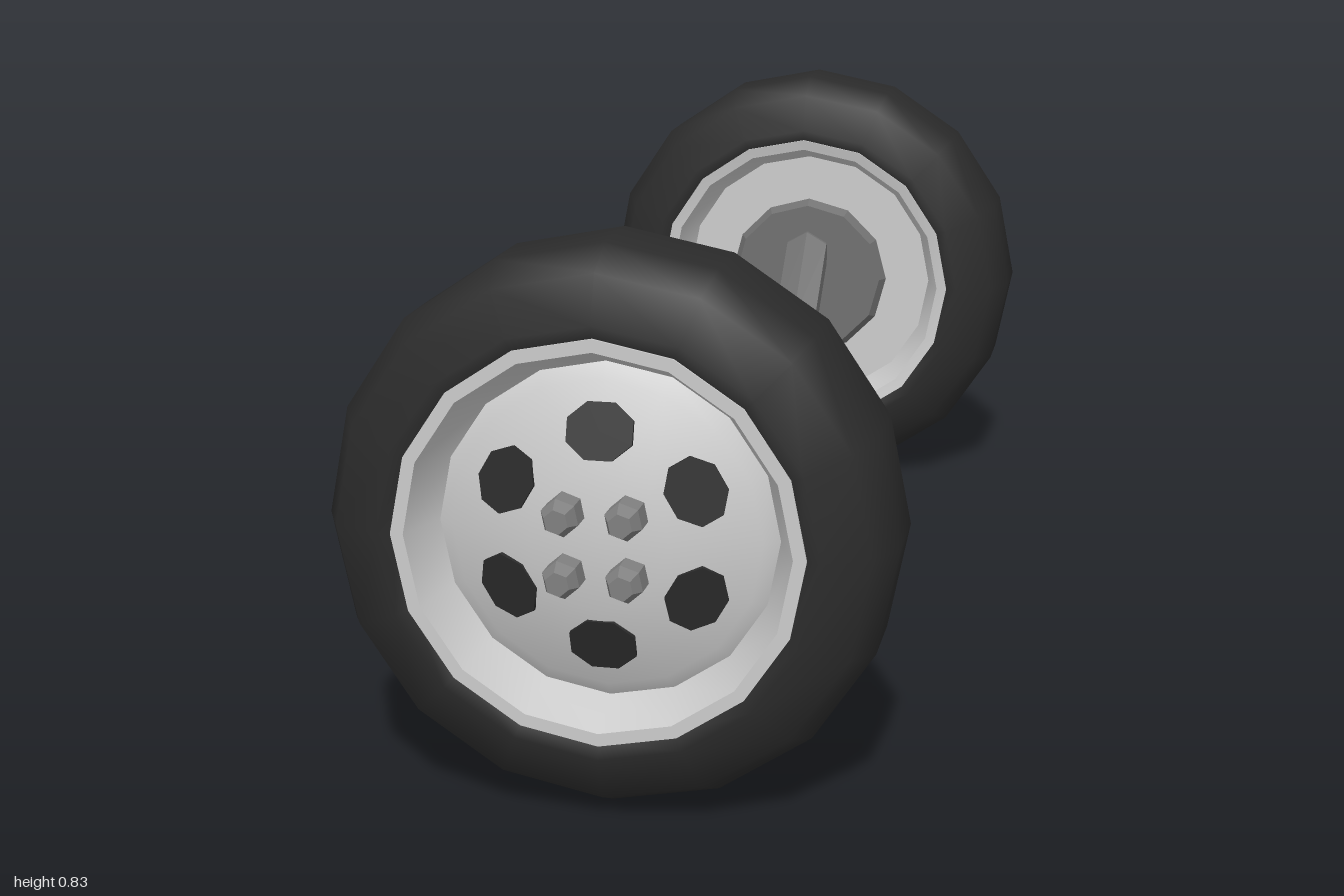
import * as THREE from 'three';
import { toCreasedNormals } from 'three/addons/utils/BufferGeometryUtils.js';

const mat = (color, flatShading = false) => new THREE.MeshStandardMaterial({ color, flatShading });
const rubber = mat(0x2b2b2b);
const metal = mat(0xcccccc);
const steel = mat(0x707070, true);
const nutSteel = mat(0x808080, true);

function add(parent, name, geometry, material) {
  const mesh = new THREE.Mesh(geometry, material);
  mesh.name = name;
  parent.add(mesh);
  return mesh;
}

// Lathe around the z axis; profile is [radius, z], from back to front
function turned(profile, sides) {
  const points = profile.map(([r, z]) => new THREE.Vector2(r, z));
  return new THREE.LatheGeometry(points, sides).rotateX(Math.PI / 2);
}

// Wheel centred on the origin, outer face towards +z
function makeWheel() {
  const wheel = new THREE.Group();

  add(wheel, 'tyre', turned([
    [0.292, -0.13], [0.315, -0.14], [0.383, -0.115], [0.413, -0.055],
    [0.413, 0.055], [0.383, 0.115], [0.315, 0.14], [0.292, 0.13],
  ], 16), rubber);

  // Back plate, barrel, lip and domed dish in one profile
  const rim = turned([
    [0, -0.06], [0.25, -0.06], [0.275, -0.13], [0.295, -0.135],
    [0.296, 0.135], [0.277, 0.135], [0.247, 0.06],
    [0.225, 0.075], [0.1, 0.115], [0, 0.12],
  ], 16);
  add(wheel, 'rim', toCreasedNormals(rim, 0.5), metal);

  // Dark vent openings, tilted to follow the dish
  for (let i = 0; i < 6; i++) {
    const vent = new THREE.CylinderGeometry(1, 1, 1, 8)
      .rotateY(Math.PI / 8).rotateX(Math.PI / 2)
      .scale(0.051, 0.044, 0.012)
      .rotateX(-0.31).translate(0, 0.155, 0.094)
      .rotateZ(i * Math.PI / 3);
    add(wheel, 'vent', vent, rubber);
  }

  // Four tapered hexagonal wheel nuts
  for (const x of [-0.045, 0.045]) {
    for (const y of [-0.045, 0.045]) {
      const nut = turned([[0.028, 0.105], [0.028, 0.15], [0.018, 0.17], [0, 0.17]], 6);
      add(wheel, 'wheelNut', nut.rotateZ(0.2), nutSteel).position.set(x, y, 0);
    }
  }

  // Hub plate on the inner side
  add(wheel, 'hub', turned([[0, -0.078], [0.15, -0.078], [0.165, -0.055]], 12), steel);
  return wheel;
}

// Hexagonal beam lofted through rings of [z, y, tilt]
function makeAxle() {
  const half = [
    [0.555, 0.25, 0], [0.633, 0.318, Math.PI / 2],
    [0.633, 0.36, Math.PI / 2], [0.745, 0.462, 0], [0.775, 0.465, 0],
  ];
  const rings = [...half.map(([z, y, t]) => [-z, y, -t]).reverse(), ...half];
  const sides = 6, radius = 0.047, positions = [], index = [];
  rings.forEach(([z, y, tilt], j) => {
    for (let i = 0; i < sides; i++) {
      const a = i / sides * Math.PI * 2;
      const up = Math.cos(a) * radius;
      positions.push(Math.sin(a) * radius, y + up * Math.cos(tilt), z - up * Math.sin(tilt));
      if (j === 0) continue;
      const k = (i + 1) % sides, p = (j - 1) * sides, q = j * sides;
      index.push(p + i, q + i, p + k, p + k, q + i, q + k);
    }
  });
  const geometry = new THREE.BufferGeometry();
  geometry.setAttribute('position', new THREE.Float32BufferAttribute(positions, 3));
  geometry.setIndex(index);
  geometry.computeVertexNormals();
  const material = steel.clone();
  material.side = THREE.DoubleSide;
  return new THREE.Mesh(geometry, material);
}

export function createModel() {
  const model = new THREE.Group();
  model.name = 'axleWithWheels';

  const axle = makeAxle();
  axle.name = 'axle';
  model.add(axle);

  // One wheel at each end, outer faces pointing away from the middle
  for (const side of [1, -1]) {
    const wheel = makeWheel();
    wheel.name = side > 0 ? 'frontWheel' : 'backWheel';
    wheel.position.set(0, 0.413, 0.83 * side);
    if (side < 0) wheel.rotation.y = Math.PI;
    model.add(wheel);
  }
  return model;
}
